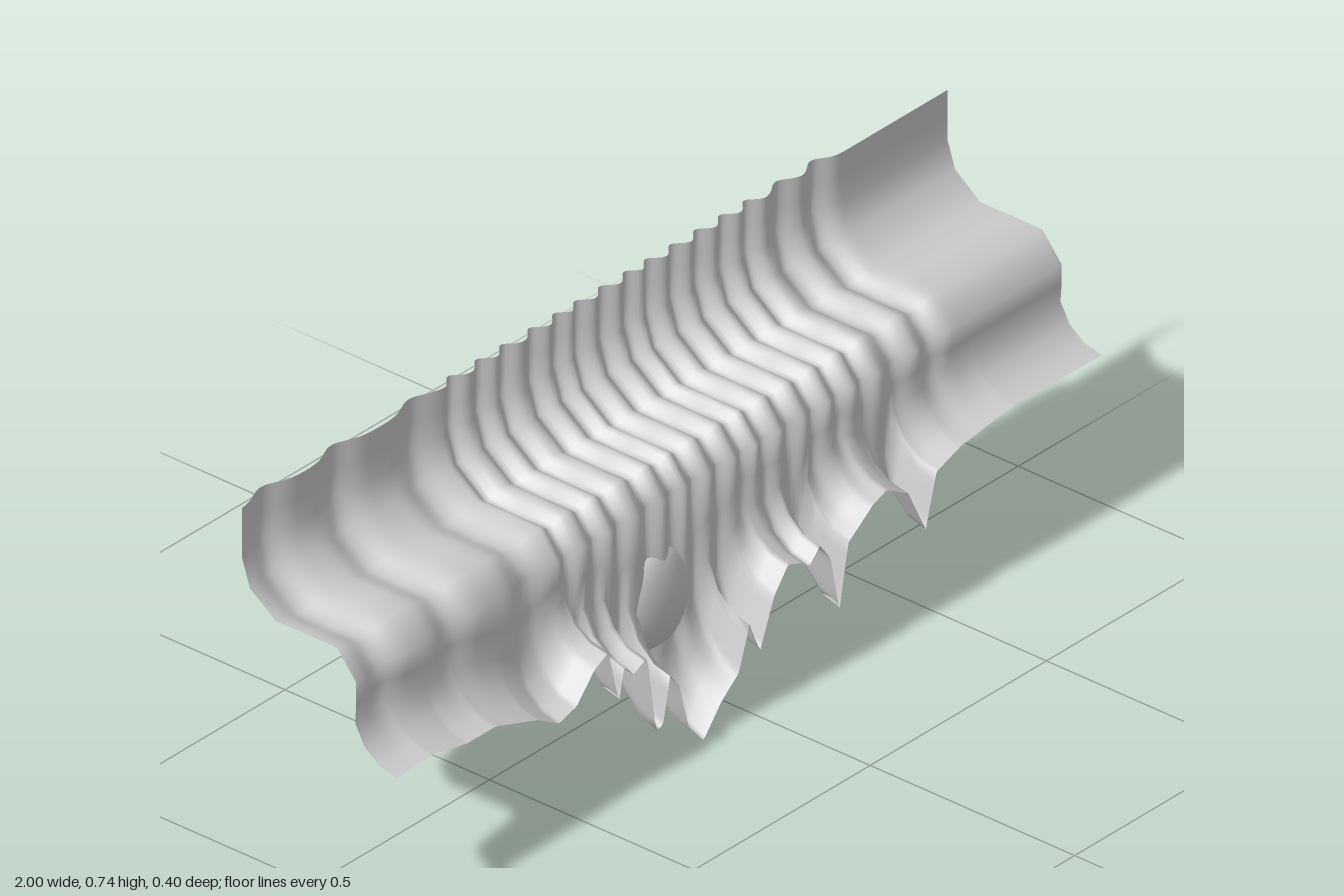
import * as THREE from 'three';

const grey = new THREE.MeshStandardMaterial({ color: 0xcccccc });
const sheetGrey = new THREE.MeshStandardMaterial({ color: 0xcccccc, side: THREE.DoubleSide });

// Lower hem: height at each x
const hem = [
  [-1, 0.31], [-0.9, 0.315], [-0.8, 0.295], [-0.72, 0.295], [-0.6, 0.255], [-0.54, 0.22], [-0.49, 0.235],
  [-0.44, 0.29], [-0.4, 0.31], [-0.37, 0.19], [-0.355, 0.26], [-0.33, 0.23], [-0.29, 0.25], [-0.265, 0.08],
  [-0.245, 0.085], [-0.225, 0.18], [-0.2, 0.15], [-0.17, 0.04], [-0.13, 0], [-0.08, 0.06], [-0.03, 0.1],
  [0, 0.19], [0.03, 0.12], [0.07, 0.22], [0.11, 0.27], [0.15, 0.255], [0.17, 0.24], [0.2, 0.27],
  [0.23, 0.23], [0.255, 0.105], [0.28, 0.24], [0.35, 0.29], [0.39, 0.305], [0.45, 0.27], [0.5, 0.17],
  [0.53, 0.28], [0.6, 0.305], [0.75, 0.325], [1, 0.32],
];
// Folds that run over the whole section
const folds = [-0.92, -0.72, -0.5, -0.39, -0.31, -0.24, -0.16, -0.09, -0.03, 0.04, 0.11, 0.17, 0.24, 0.31, 0.38, 0.45, 0.54, 0.64];

function hemAt(x) {
  const i = Math.max(1, hem.findIndex((p) => p[0] >= x - 1e-9));
  const [x0, y0] = hem[i - 1], [x1, y1] = hem[i];
  return y0 + (y1 - y0) * (x - x0) / (x1 - x0);
}

function foldAt(x) {
  let f = 0;
  for (const c of folds) {
    const width = c < -0.45 ? 0.045 : c > 0.5 ? 0.03 : 0.02;
    f = Math.max(f, Math.exp(-(((x - c) / width) ** 2)));
  }
  return 0.024 * f - 0.01;
}

// Section [z, y, fold strength] from the top edge down to the hem
function section(b) {
  const k = 0.14 - 0.2 * b;
  const knee = b + k;
  const mid = (0.475 + knee) / 2;
  return [
    [-0.183, 0.745, 1], [-0.183, 0.69, 1], [-0.183, 0.637, 1], [-0.162, 0.575, 1], [-0.095, 0.525, 1],
    [-0.02, 0.525, 1], [0.055, 0.525, 1], [0.098, 0.473, 0.9], [0.1, mid, 0.6], [0.1, knee, 0.35],
    [0.125, b + k * 0.45, 0.2], [0.162, b + k * 0.12, 0.1], [0.205, b, 0],
  ];
}

// Folded sheet: one section per column, folds pushed out along the section's normal
function sheetGeometry() {
  const cols = 320, pos = [], index = [];
  let rows = 0;
  for (let i = 0; i <= cols; i++) {
    const x = -1 + 2 * i / cols, s = section(hemAt(x)), f = foldAt(x);
    rows = s.length;
    s.forEach(([z, y, w], j) => {
      const p = s[Math.max(0, j - 1)], q = s[Math.min(rows - 1, j + 1)];
      const dz = q[0] - p[0], dy = q[1] - p[1], l = Math.hypot(dz, dy);
      pos.push(x, y - (j ? dz / l : 0) * f * w, z + dy / l * f * w);
    });
  }
  for (let i = 0; i < cols; i++) {
    for (let j = 0; j < rows - 1; j++) {
      const a = i * rows + j, b = a + rows;
      index.push(a, a + 1, b, b, a + 1, b + 1);
    }
  }
  const g = new THREE.BufferGeometry();
  g.setAttribute('position', new THREE.Float32BufferAttribute(pos, 3));
  g.setIndex(index);
  g.computeVertexNormals();
  return g;
}

// Pointed blade starting at (x, y), leaning by angle from +x
function blade(name, x, y, angle, length, width, z = 0.068) {
  const w = width / 2;
  const shape = new THREE.Shape([[0, -w * 0.6], [length * 0.55, -w], [length, w * 0.3], [length * 0.6, w], [0, w * 0.6]]
    .map((p) => new THREE.Vector2(...p)));
  const g = new THREE.ExtrudeGeometry(shape, {
    depth: 0.012, bevelEnabled: true, bevelThickness: 0.005, bevelSize: 0.004, bevelSegments: 1,
  });
  const m = new THREE.Mesh(g.translate(0, 0, -0.006), grey);
  m.name = name;
  m.position.set(x, y, z);
  m.rotation.z = angle;
  return m;
}

function wing(side) {
  const g = new THREE.Group();
  g.name = side > 0 ? 'leftWing' : 'rightWing';
  // leading edge in two overlapping pieces
  g.add(blade('wingArm', 0.06, 0.315, 0.38, 0.22, 0.035, 0.066));
  g.add(blade('wingTip', 0.2, 0.37, 0.34, 0.2, 0.034, 0.062));
  // stepped lower feathers
  for (let i = 0; i < 5; i++) {
    const t = i / 4;
    g.add(blade('lowerFeather', 0.07 + 0.16 * t, 0.3 + 0.06 * t, -0.2 + 0.35 * t, 0.12, 0.026, 0.07 + 0.006 * (i % 2)));
  }
  // short upper feathers
  for (let i = 0; i < 4; i++) {
    g.add(blade('upperFeather', 0.08 + 0.045 * i, 0.335 + 0.016 * i, 0.95 - 0.1 * i, 0.085, 0.022, 0.074));
  }
  if (side < 0) {
    // mirror the vertices so the faces keep facing outward
    g.children.forEach((m) => {
      m.updateMatrix();
      const geo = m.geometry.applyMatrix4(m.matrix).scale(-1, 1, 1);
      const p = geo.attributes.position;
      for (let i = 0; i < p.count; i += 3) {
        const a = new THREE.Vector3().fromBufferAttribute(p, i), b = new THREE.Vector3().fromBufferAttribute(p, i + 1);
        p.setXYZ(i, b.x, b.y, b.z);
        p.setXYZ(i + 1, a.x, a.y, a.z);
      }
      geo.computeVertexNormals();
      m.position.set(0, 0, 0);
      m.rotation.set(0, 0, 0);
    });
  }
  return g;
}

export function createModel() {
  const model = new THREE.Group();
  model.name = 'foldedCanopy';

  const sheet = new THREE.Mesh(sheetGeometry(), sheetGrey);
  sheet.name = 'foldedSheet';
  model.add(sheet);

  // Ornament behind the sheet
  const ornament = new THREE.Group();
  ornament.name = 'wingedOrnament';
  ornament.position.x = -0.128;
  const ball = new THREE.SphereGeometry(1, 28, 18);
  const p = ball.attributes.position;
  for (let i = 0; i < p.count; i++) {
    const z = p.getZ(i);
    p.setXYZ(i, p.getX(i) * 0.09, p.getY(i) * 0.109, z * (z < 0 ? 0.085 : 0.042));
  }
  ball.computeVertexNormals();
  const orb = new THREE.Mesh(ball, grey);
  orb.name = 'orb';
  orb.position.set(0, 0.26, 0.08);
  ornament.add(orb);

  // Crown of spikes over the orb
  for (let i = -3; i <= 3; i++) {
    const a = Math.PI / 2 - i * 0.2;
    ornament.add(blade('crownSpike', Math.cos(a) * 0.085, 0.26 + Math.sin(a) * 0.095, a, 0.115 - Math.abs(i) * 0.008, 0.024, 0.072));
  }
  ornament.add(wing(1), wing(-1));
  model.add(ornament);
  return model;
}
